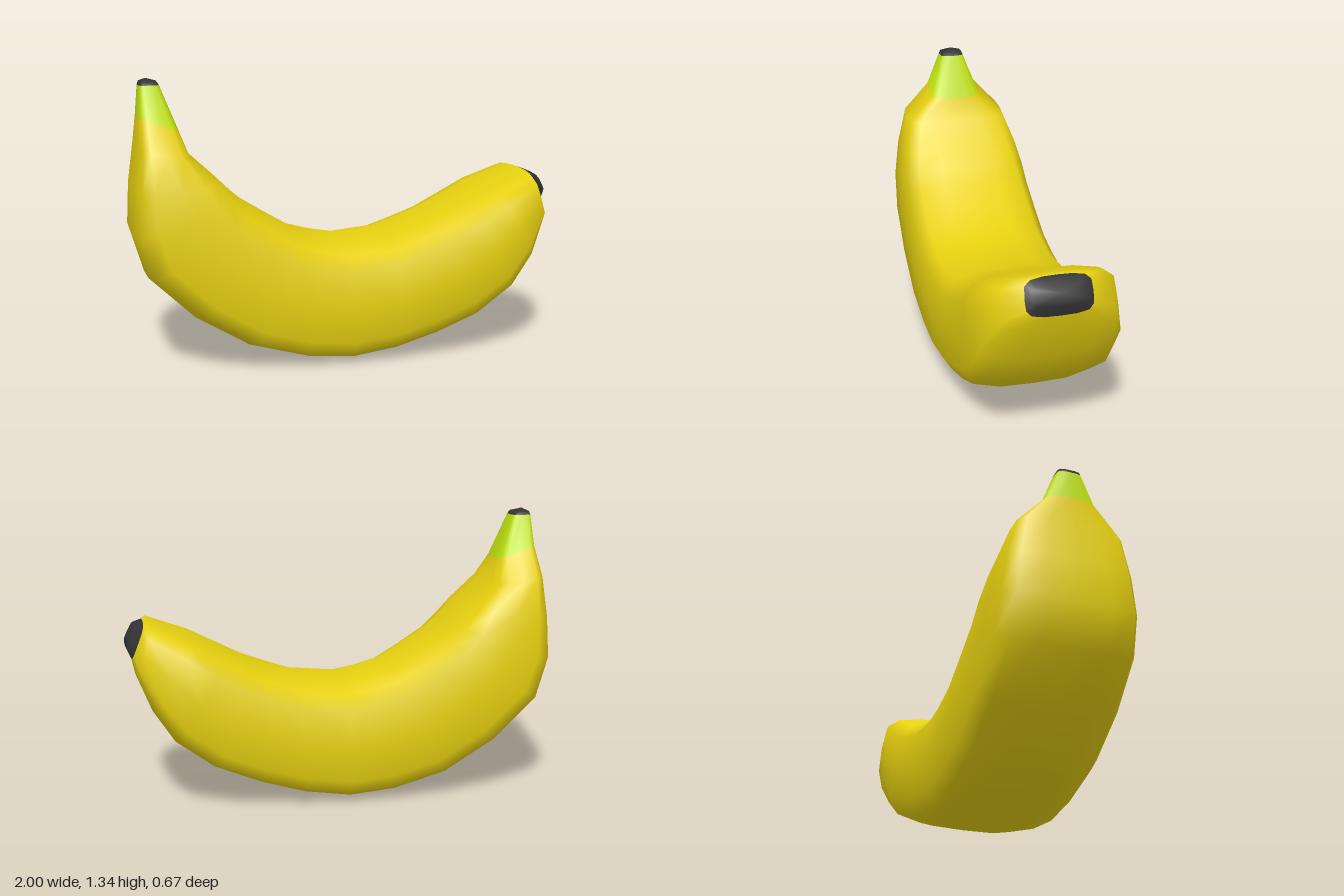
import * as THREE from 'three';

// Cross-sections from stem to tip: inner x, y, outer x, y, half width in z
const SECTIONS = [
  [-0.86, 1.32, -0.94, 1.32, 0.052],
  [-0.85, 1.305, -0.945, 1.305, 0.058],
  [-0.77, 1.10, -0.955, 1.165, 0.125],
  [-0.73, 0.99, -0.965, 1.03, 0.25],
  [-0.60, 0.87, -0.99, 0.84, 0.295],
  [-0.53, 0.80, -1.00, 0.64, 0.317],
  [-0.46, 0.74, -0.94, 0.44, 0.325],
  [-0.34, 0.665, -0.73, 0.24, 0.331],
  [-0.23, 0.60, -0.48, 0.09, 0.333],
  [-0.12, 0.57, -0.23, 0.02, 0.333],
  [-0.01, 0.55, -0.01, 0.00, 0.333],
  [0.21, 0.57, 0.20, 0.03, 0.333],
  [0.33, 0.61, 0.41, 0.09, 0.333],
  [0.44, 0.65, 0.61, 0.17, 0.333],
  [0.57, 0.715, 0.79, 0.30, 0.331],
  [0.70, 0.78, 0.89, 0.45, 0.32],
  [0.89, 0.85, 0.96, 0.62, 0.26],
  [0.915, 0.845, 0.975, 0.685, 0.15],
  [0.955, 0.83, 1.00, 0.74, 0.13],
];
const STEM_APEX = [-0.91, 1.335, 0];
const TIP_APEX = [0.99, 0.795, 0];

// Rounded-box ring: [outer to inner, sideways], mirrored in z
const HALF = [[-1, 0], [-0.985, 0.47], [-0.87, 0.84], [-0.6, 0.98], [0, 1],
  [0.6, 0.97], [0.87, 0.8], [0.98, 0.44], [1, 0]];
const RING = [...HALF, ...HALF.slice(1, -1).reverse().map(([v, w]) => [v, -w])];

export function createModel() {
  const group = new THREE.Group();
  group.name = 'banana';
  const n = RING.length;
  const last = SECTIONS.length - 1;

  // Points of all sections, then the two end points
  const points = [];
  for (const [ix, iy, ox, oy, w] of SECTIONS) {
    for (const [v, s] of RING) {
      const t = (v + 1) / 2;
      points.push(ox + (ix - ox) * t, oy + (iy - oy) * t, s * w);
    }
  }
  const stemApex = points.length / 3;
  points.push(...STEM_APEX, ...TIP_APEX);

  // Faces between two sections, and the fans that close the ends
  const band = (from, to) => {
    const index = [];
    for (let i = from; i < to; i++) {
      for (let j = 0; j < n; j++) {
        const k = (j + 1) % n;
        const a = i * n + j, b = i * n + k;
        index.push(a, a + n, b, b, a + n, b + n);
      }
    }
    return index;
  };
  const stemFan = [], tipFan = [];
  for (let j = 0; j < n; j++) {
    const k = (j + 1) % n;
    stemFan.push(stemApex, j, k);
    tipFan.push(stemApex + 1, last * n + k, last * n + j);
  }

  // Smooth normals are shared by the whole skin, so the parts meet without a seam
  const skin = new THREE.BufferGeometry();
  skin.setAttribute('position', new THREE.Float32BufferAttribute(points, 3));
  skin.setIndex([...band(0, last), ...stemFan, ...tipFan]);
  skin.computeVertexNormals();

  const addPart = (name, color, index) => {
    const geometry = skin.clone().setIndex(index).toNonIndexed();
    const mesh = new THREE.Mesh(geometry, new THREE.MeshStandardMaterial({ color }));
    mesh.name = name;
    group.add(mesh);
  };
  addPart('stemEnd', 0x333335, [...stemFan, ...band(0, 1)]);
  addPart('stem', 0xbfe010, band(1, 2));
  addPart('peel', 0xe6d010, band(2, last - 1));
  addPart('blossomTip', 0x333335, [...band(last - 1, last), ...tipFan]);
  return group;
}
